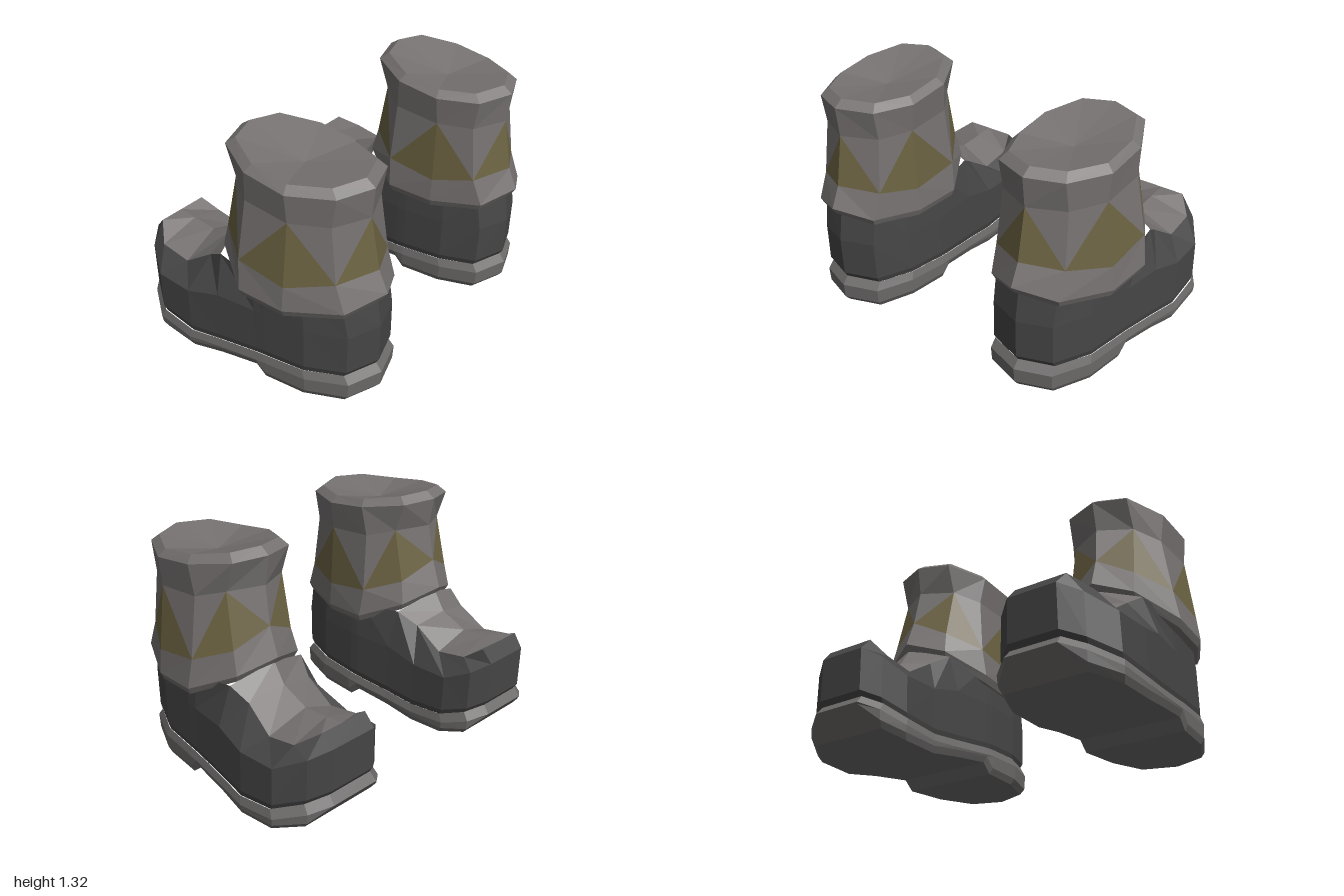
import * as THREE from 'three';

const MAT = {
  leather: new THREE.MeshStandardMaterial({ color: 0x464646 }),
  cuff: new THREE.MeshStandardMaterial({ color: 0x757170 }),
  sole: new THREE.MeshStandardMaterial({ color: 0x6d6b6a }),
  gold: new THREE.MeshStandardMaterial({ color: 0x6c6342 }),
};
for (const key in MAT) MAT[key].name = key;

// Foot outline from heel to toe: z, inner x, outer x
const FOOT = [
  [0.73, 0.61, 0.61], [0.66, 0.41, 0.80], [0.45, 0.33, 0.90], [0.20, 0.305, 0.93],
  [0.14, 0.305, 0.935], [-0.10, 0.32, 0.965], [-0.30, 0.325, 0.995],
  [-0.53, 0.325, 0.985], [-0.68, 0.375, 0.88], [-0.755, 0.47, 0.77],
];
const SOLE_BOTTOM = [0, 0, 0, 0, 0.055, 0.03, 0, 0.01, 0.045, 0.13];
const SOLE_TOP = [0.165, 0.165, 0.16, 0.15, 0.145, 0.125, 0.108, 0.13, 0.18, 0.22];
const BODY_MID = [0.42, 0.42, 0.42, 0.42, 0.42, 0.42, 0.37, 0.37, 0.44, 0.49];

// Upper edge of the leather: z, inner x, outer x, y
const BODY_TOP = [
  [0.69, 0.61, 0.61, 0.62], [0.62, 0.42, 0.80, 0.62], [0.43, 0.36, 0.88, 0.62],
  [0.20, 0.34, 0.91, 0.62], [0.12, 0.345, 0.91, 0.62], [-0.12, 0.39, 0.88, 0.64],
  [-0.23, 0.44, 0.85, 0.57], [-0.40, 0.44, 0.87, 0.46], [-0.58, 0.44, 0.87, 0.49],
  [-0.68, 0.48, 0.78, 0.56],
];
// Ridge of the instep: z, y
const RIDGE = [[-0.19, 0.72], [-0.26, 0.61], [-0.42, 0.54], [-0.57, 0.55], [-0.68, 0.56]];

// Shaft rings, each from back to front: z, inner x, outer x, y
const FLARE = [
  [0.755, 0.61, 0.61, 0.645], [0.65, 0.41, 0.82, 0.59], [0.37, 0.315, 0.96, 0.56],
  [0.10, 0.29, 0.98, 0.575], [-0.13, 0.42, 0.84, 0.68], [-0.22, 0.64, 0.64, 0.75],
];
const BAND_LOW = [
  [0.70, 0.61, 0.61, 0.765], [0.595, 0.40, 0.815, 0.74], [0.37, 0.325, 0.945, 0.695],
  [0.085, 0.31, 0.955, 0.74], [-0.10, 0.44, 0.83, 0.81], [-0.165, 0.64, 0.64, 0.91],
];
const BAND_HIGH = [
  [0.65, 0.61, 0.61, 1.05], [0.56, 0.415, 0.80, 1.05], [0.37, 0.345, 0.90, 1.05],
  [0.10, 0.345, 0.90, 1.07], [-0.04, 0.44, 0.81, 1.11], [-0.13, 0.63, 0.63, 1.12],
];
const RIM = [
  [0.67, 0.61, 0.61, 1.22], [0.59, 0.41, 0.80, 1.215], [0.37, 0.325, 0.915, 1.21],
  [0.12, 0.325, 0.915, 1.24], [-0.10, 0.44, 0.81, 1.275], [-0.16, 0.63, 0.63, 1.285],
];

// Closed loop: heel point, inner side forward, outer side back
function loop(stations, closedFront) {
  const inner = stations.map(([z, xi, , y]) => [xi, y, z]);
  const outer = stations.map(([z, , xo, y]) => [xo, y, z]);
  return [...inner, ...outer.slice(1, closedFront ? -1 : undefined).reverse()];
}

// Foot outline scaled in length and width, with a height per station
const footLoop = (kz, kx, ys) => loop(FOOT.map(([z, xi, xo], i) =>
  [z * kz, 0.645 + (xi - 0.645) * kx, 0.645 + (xo - 0.645) * kx, ys[i]]), false);

// Shaft loop scaled about the shaft axis and moved up or down
const shaftLoop = (stations, k = 1, dy = 0) => loop(stations, true).map(([x, y, z]) =>
  [0.62 + (x - 0.62) * k, y + dy, 0.26 + (z - 0.26) * k]);

const quad = (a, b, c, d) => [a, b, c, a, c, d];

// Wall between rings stacked from low to high
function wall(rings) {
  const out = [];
  for (let r = 0; r + 1 < rings.length; r++) {
    const a = rings[r], b = rings[r + 1], n = a.length;
    for (let i = 0; i < n; i++) {
      const j = (i + 1) % n;
      out.push(...quad(a[j], a[i], b[i], b[j]));
    }
  }
  return out;
}

function createBoot(side) {
  const boot = new THREE.Group();
  boot.name = side > 0 ? 'leftBoot' : 'rightBoot';

  // Faceted mesh from corner triples, mirrored for the other foot
  const add = (name, material, corners) => {
    const pos = [];
    for (let i = 0; i < corners.length; i += 3) {
      const [a, b, c] = corners.slice(i, i + 3);
      for (const p of side > 0 ? [a, b, c] : [a, c, b]) pos.push(p[0] * side, p[1], p[2]);
    }
    const geo = new THREE.BufferGeometry();
    geo.setAttribute('position', new THREE.Float32BufferAttribute(pos, 3));
    geo.computeVertexNormals();
    const mesh = new THREE.Mesh(geo, material);
    mesh.name = name;
    boot.add(mesh);
  };

  // Sole with heel block and raised toe
  const tread = footLoop(0.95, 0.94, SOLE_BOTTOM);
  const soleFaces = wall([
    tread,
    footLoop(0.99, 0.99, SOLE_BOTTOM.map((y) => y + 0.035)),
    footLoop(1, 1, SOLE_TOP.map((y, i) => Math.max(y - 0.045, SOLE_BOTTOM[i] + 0.045))),
    footLoop(0.95, 0.96, SOLE_TOP),
  ]);
  const n = tread.length;
  for (let j = 0; j < FOOT.length - 1; j++) {
    soleFaces.push(...quad(tread[j], tread[j + 1], tread[n - j - 1], tread[(n - j) % n]));
  }
  add('sole', MAT.sole, soleFaces);

  // Leather foot
  add('foot', MAT.leather, wall([
    footLoop(0.945, 0.935, SOLE_TOP.map((y) => y - 0.005)),
    footLoop(0.975, 0.96, SOLE_TOP.map((y) => y + 0.03)),
    footLoop(0.985, 0.945, BODY_MID),
    loop(BODY_TOP, false),
  ]));

  // Instep panel from the shaft to the toe
  const instep = [];
  for (let j = 0; j < RIDGE.length - 1; j++) {
    const [p, q] = [j, j + 1].map((k) => {
      const [z, xi, xo, y] = BODY_TOP[k + 5];
      return { i: [xi, y, z], c: [0.64, RIDGE[k][1], RIDGE[k][0]], o: [xo, y, z] };
    });
    instep.push(...quad(p.i, p.c, q.c, q.i), ...quad(p.c, p.o, q.o, q.c));
  }
  add('instep', MAT.cuff, instep);

  // Shaft: flared hem, patterned band, rim and dished top
  const low = shaftLoop(BAND_LOW), high = shaftLoop(BAND_HIGH);
  const top = shaftLoop(RIM, 0.87, 0.038);
  const shaft = [
    ...wall([shaftLoop(FLARE, 0.8, -0.03), shaftLoop(FLARE, 0.95, -0.04), shaftLoop(FLARE), low]),
    ...wall([high, shaftLoop(RIM), top]),
  ];
  const triangles = [];
  const centre = [0.62, 1.21, 0.25];
  for (let i = 0; i < low.length; i++) {
    const j = (i + 1) % low.length;
    shaft.push(centre, top[j], top[i]);
    // Even columns carry the tips of the gold triangles
    if (i % 2 === 0) {
      triangles.push(low[j], low[i], high[i]);
      shaft.push(low[j], high[i], high[j]);
    } else {
      triangles.push(low[j], low[i], high[j]);
      shaft.push(low[i], high[i], high[j]);
    }
  }
  add('shaft', MAT.cuff, shaft);
  add('shaftTriangles', MAT.gold, triangles);
  return boot;
}

export function createModel() {
  const model = new THREE.Group();
  model.name = 'boots';
  for (const side of [1, -1]) model.add(createBoot(side));
  return model;
}
